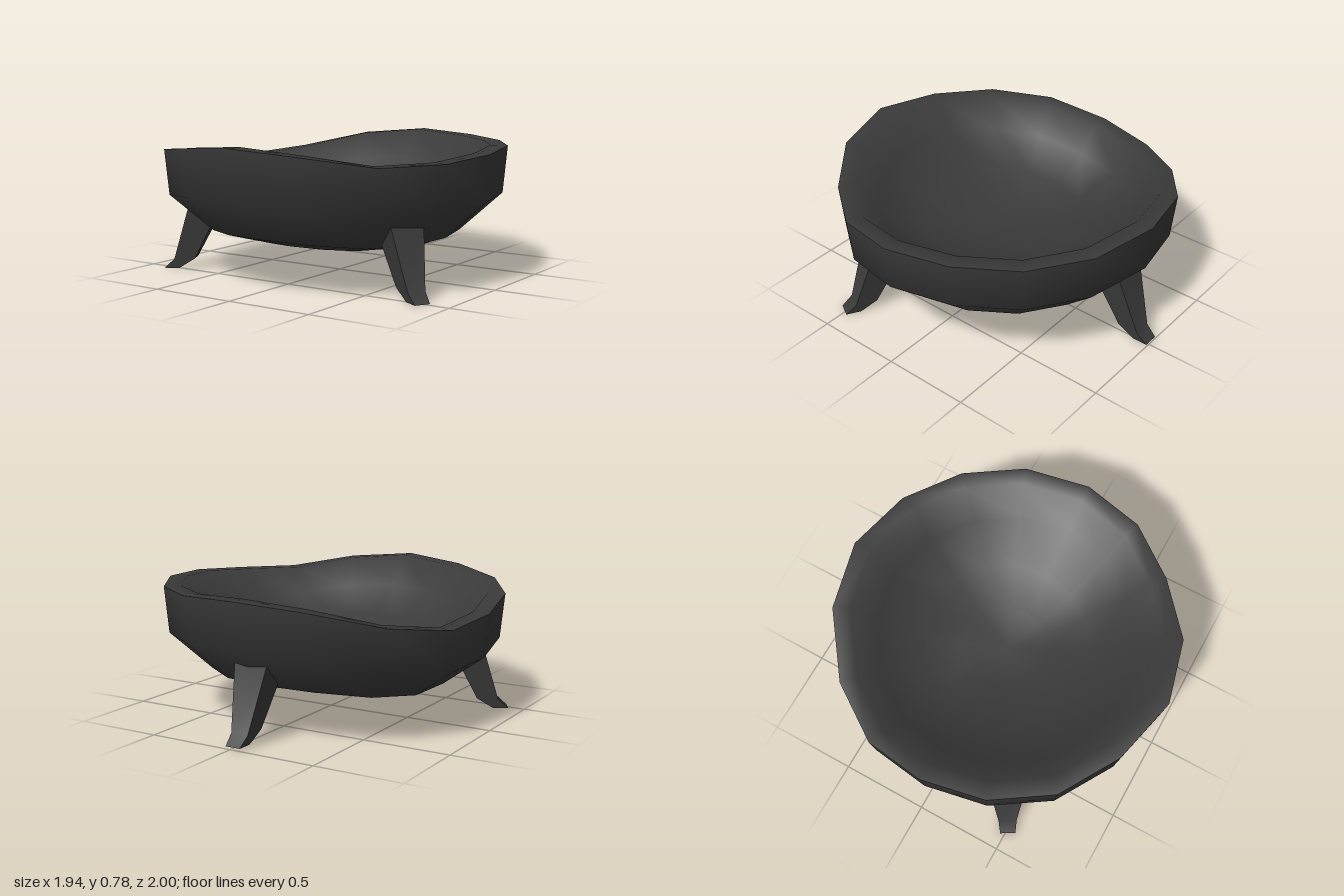
import * as THREE from 'three';
import { toCreasedNormals } from 'three/addons/utils/BufferGeometryUtils.js';

// Uneven sixteen-sided rim: x, y, z, counterclockwise from the front
const RIM = [
  [0, 0.78, 0.998], [0.378, 0.748, 0.905], [0.683, 0.692, 0.66], [0.9, 0.70, 0.37],
  [0.968, 0.725, 0.02], [0.888, 0.74, -0.35], [0.683, 0.738, -0.66], [0.378, 0.745, -0.875],
  [0, 0.76, -0.96], [-0.383, 0.725, -0.875], [-0.715, 0.64, -0.635], [-0.92, 0.60, -0.33],
  [-0.97, 0.635, 0.02], [-0.905, 0.685, 0.39], [-0.705, 0.718, 0.705], [-0.38, 0.753, 0.905],
];

// Rings from the outer bottom, over the lip, to the inner bottom:
// [radius factor, height, share of the rim's unevenness]
const RINGS = [
  [0, 0.144, 0], [0.47, 0.198, 0.2], [0.73, 0.262, 0.4], [0.975, 0.478, 0.8],
  [1, 0.74, 1], [0.9, 0.741, 1], [0.76, 0.585, 0.85], [0.5, 0.445, 0.5],
  [0.25, 0.37, 0.2], [0, 0.34, 0],
];

function bowlGeometry() {
  const n = RIM.length, centreZ = 0.02, meanY = 0.74, pos = [];
  const point = (i, j) => {
    const [s, y, share] = RINGS[i];
    const [rx, ry, rz] = RIM[j % n];
    return [rx * s, y + share * (ry - meanY), centreZ + (rz - centreZ) * s];
  };
  for (let i = 0; i < RINGS.length - 1; i++) {
    for (let j = 0; j < n; j++) {
      const a = point(i, j), b = point(i, j + 1), c = point(i + 1, j + 1), d = point(i + 1, j);
      if (RINGS[i][0] > 0) pos.push(...a, ...b, ...d);
      if (RINGS[i + 1][0] > 0) pos.push(...(RINGS[i][0] > 0 ? b : a), ...c, ...d);
    }
  }
  const g = new THREE.BufferGeometry();
  g.setAttribute('position', new THREE.Float32BufferAttribute(pos, 3));
  return toCreasedNormals(g, 1.2);
}

// Side profile of a leg (radius, height), widened towards the top
function legGeometry() {
  const profile = [
    [0.70, 0.29], [0.82, 0.06], [0.915, 0], [1.003, 0],
    [0.942, 0.055], [0.835, 0.4], [0.78, 0.4],
  ].map(([x, y]) => new THREE.Vector2(x, y));
  const g = new THREE.ExtrudeGeometry(new THREE.Shape(profile), { depth: 2, bevelEnabled: false });
  g.translate(0, 0, -1);
  const p = g.attributes.position;
  for (let i = 0; i < p.count; i++) p.setZ(i, p.getZ(i) * (0.044 + 0.14 * p.getY(i)));
  return toCreasedNormals(g, 0.55);
}

export function createModel() {
  const group = new THREE.Group();
  const dark = new THREE.MeshStandardMaterial({ color: 0x3a3a3a });

  const bowl = new THREE.Mesh(bowlGeometry(), dark);
  bowl.name = 'bowl';
  group.add(bowl);

  // Three splayed legs: name, direction, offset
  const geometry = legGeometry();
  const legs = [
    ['backLeg', Math.PI / 2, [-0.017, 0.014, 0.003]],
    ['leftLeg', -Math.PI / 6, [-0.015, 0, 0.012]],
    ['rightLeg', Math.PI * 7 / 6, [-0.02, 0, 0.012]],
  ];
  for (const [name, angle, offset] of legs) {
    const leg = new THREE.Mesh(geometry, dark);
    leg.name = name;
    leg.rotation.y = angle;
    leg.position.set(...offset);
    group.add(leg);
  }
  return group;
}
